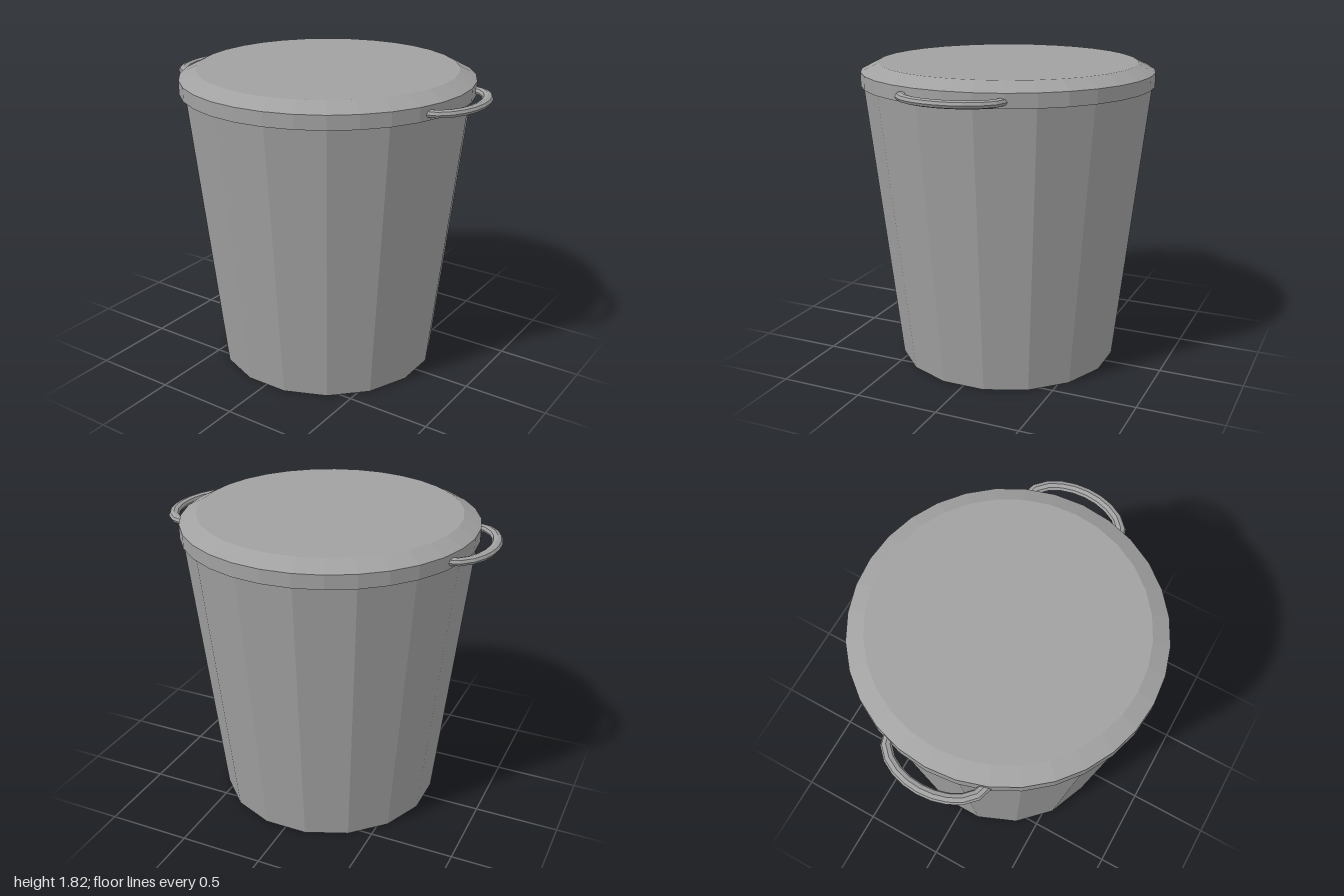
import * as THREE from 'three';

const material = new THREE.MeshStandardMaterial({ color: 0xa1a1a1, flatShading: true });

function addMesh(parent, name, geometry, y = 0) {
  const mesh = new THREE.Mesh(geometry, material);
  mesh.name = name;
  mesh.position.y = y;
  parent.add(mesh);
  return mesh;
}

export function createModel() {
  const model = new THREE.Group();
  model.name = 'liddedBin';

  // Tapered 16-sided bucket, with a flat face turned to the front
  const height = 1.695;
  addMesh(model, 'bucket',
    new THREE.CylinderGeometry(0.85, 0.664, height, 16, 1, false, Math.PI / 16), height / 2);

  // Overhanging lid: straight rim, bevelled edge, flat top
  const profile = [[0, 1.686], [0.865, 1.686], [0.865, 1.767], [0.765, 1.817], [0, 1.817]];
  addMesh(model, 'lid',
    new THREE.LatheGeometry(profile.map(([r, y]) => new THREE.Vector2(r, y)), 32));

  // Oval ring handles, set into the lid rim and slightly off centre
  const oval = [];
  for (let i = 0; i < 20; i++) {
    const a = (i / 20) * Math.PI * 2;
    oval.push(new THREE.Vector3(0.189 * Math.cos(a), 0, 0.292 * Math.sin(a)));
  }
  const ring = new THREE.TubeGeometry(new THREE.CatmullRomCurve3(oval, true), 20, 0.031, 8, true);
  ring.scale(1, 0.72, 1);
  for (const side of [1, -1]) {
    const handle = addMesh(model, side > 0 ? 'leftHandle' : 'rightHandle', ring, 1.72);
    handle.position.x = side * 0.78;
    handle.position.z = side * -0.025;
    handle.rotation.y = side > 0 ? 0 : Math.PI;
  }

  return model;
}
